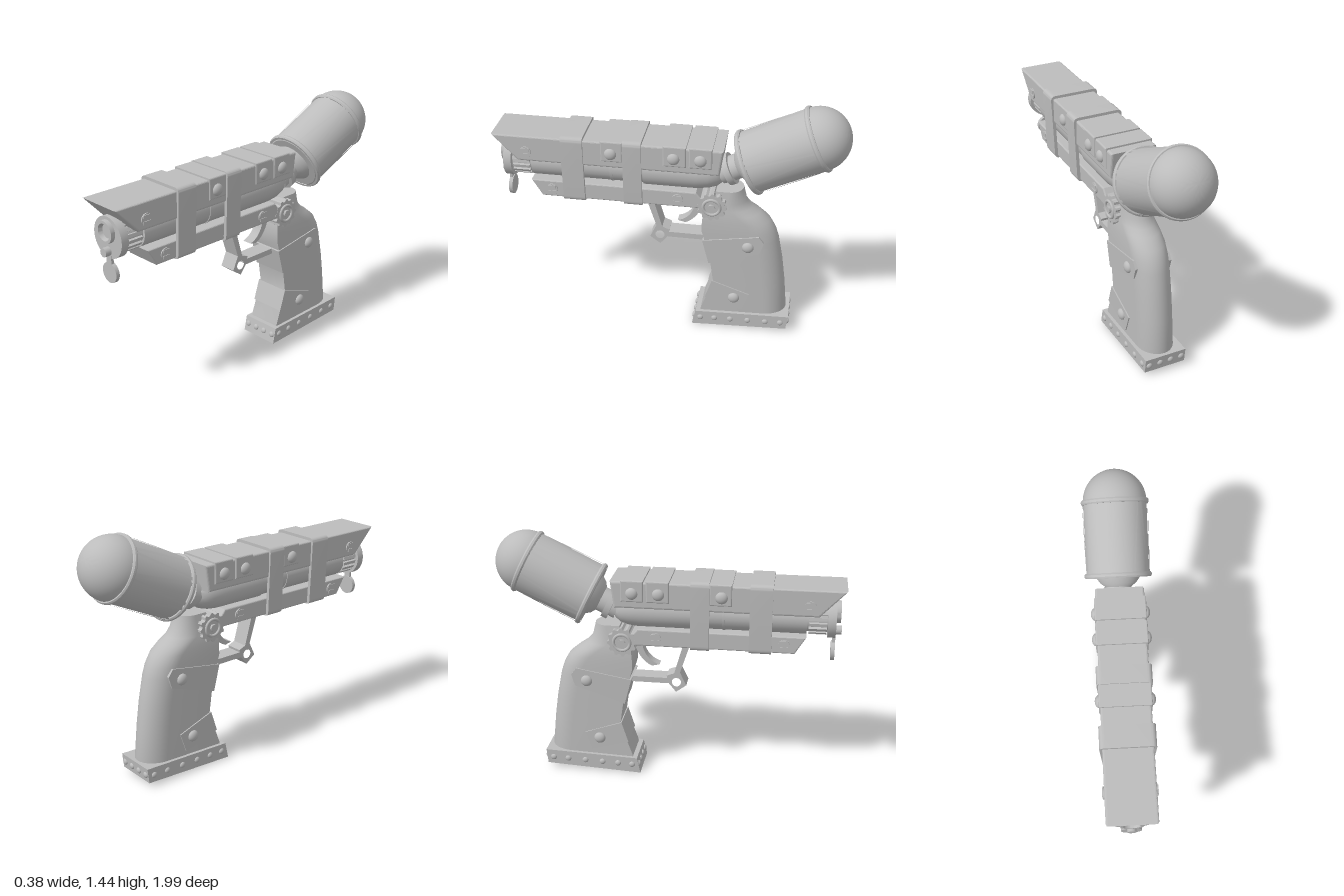
import * as THREE from 'three';
import { toCreasedNormals } from 'three/addons/utils/BufferGeometryUtils.js';

export function createModel() {
  const root = new THREE.Group();
  const metal = new THREE.MeshStandardMaterial({ color: 0xbcbcbc });
  metal.name = 'plain grey';

  const add = (name, geo, x = 0, y = 0, z = 0, parent = root) => {
    const m = new THREE.Mesh(geo, metal);
    m.name = name;
    m.position.set(x, y, z);
    parent.add(m);
    return m;
  };
  const vec = (pts) => pts.map(([a, b]) => new THREE.Vector2(a, b));

  // Side profile given as (z, y), extruded across x and centred
  const side = (shape, width, bevel = 0) => {
    const s = Array.isArray(shape) ? new THREE.Shape(vec(shape)) : shape;
    const depth = width - 2 * bevel;
    return new THREE.ExtrudeGeometry(s, {
      depth, curveSegments: 16, bevelEnabled: bevel > 0,
      bevelSize: bevel, bevelThickness: bevel, bevelOffset: -bevel, bevelSegments: 3,
    }).translate(0, 0, -depth / 2).rotateY(-Math.PI / 2);
  };
  // Turned profile of (radius, z), along the z axis
  const turned = (pts, seg = 40) =>
    toCreasedNormals(new THREE.LatheGeometry(vec(pts), seg), 0.6).rotateX(Math.PI / 2);
  const rivet = (r) => new THREE.SphereGeometry(r, 20, 8, 0, Math.PI * 2, 0, Math.PI / 2).scale(1, 0.65, 1);
  const sideRivets = (name, r, x, y, z) => [1, -1].forEach((s) =>
    add(name, rivet(r).rotateZ(-s * Math.PI / 2), s * x, y, z));

  // Upper housing and the plates wrapped over it
  add('upperHousing', side([[1, 1.205], [0.855, 1.05], [-0.29, 1.05], [-0.31, 1.205]], 0.27, 0.012));
  for (const [z0, z1, zr] of [[0.375, 0.25, 0.318], [0.025, -0.105, -0.035], [-0.12, -0.25, -0.185]]) {
    add('topPlate', side([[z0, 1.215], [z0, 1.09], [z1, 1.09], [z1, 1.215]], 0.284, 0.008));
    sideRivets('plateRivet', 0.035, 0.14, 1.14, zr);
  }

  // Lower rail
  add('lowerRail', side([[0.79, 0.92], [0.73, 0.82], [-0.2, 0.82], [-0.2, 0.87], [-0.16, 0.92]], 0.23, 0.008));

  // Bands around both housings
  const outline = (Cls, wt, wb, t, b, r) => {
    const s = new Cls();
    s.moveTo(-wb + r, b).lineTo(wb - r, b).quadraticCurveTo(wb, b, wb, b + r)
      .lineTo(wt, t - r).quadraticCurveTo(wt, t, wt - r, t)
      .lineTo(-wt + r, t).quadraticCurveTo(-wt, t, -wt, t - r)
      .lineTo(-wb, b + r).quadraticCurveTo(-wb, b, -wb + r, b);
    return s;
  };
  for (const [z, d] of [[0.475, 0.125], [0.145, 0.105]]) {
    const s = outline(THREE.Shape, 0.15, 0.135, 1.222, 0.812, 0.03);
    s.holes.push(outline(THREE.Path, 0.132, 0.115, 1.2, 0.83, 0.015));
    add('band', toCreasedNormals(new THREE.ExtrudeGeometry(s, { depth: d, bevelEnabled: false }), 0.6), 0, 0, z);
  }

  // Slotted screws
  for (const [x, y, z] of [[0.136, 1.11, 0.805], [0.116, 0.87, 0.67], [0.116, 0.87, -0.055]]) {
    for (const s of [1, -1]) {
      const g = new THREE.Group();
      g.name = 'screw';
      g.position.set(s * x, y, z);
      root.add(g);
      add('screwHead', new THREE.CylinderGeometry(0.033, 0.033, 0.012, 20).rotateZ(Math.PI / 2), 0, 0, 0, g);
      for (const o of [0.017, -0.017])
        add('screwRidge', new THREE.BoxGeometry(0.006, 0.018, 0.045), s * 0.007, o, 0, g);
    }
  }

  // Barrel, ribbed collar and muzzle
  add('barrel', turned([[0, -0.3], [0.06, -0.3], [0.085, -0.27], [0.1, -0.22], [0.108, -0.15], [0.108, 0.145],
    [0.1, 0.145], [0.1, 0.32], [0.104, 0.32], [0.104, 0.335], [0.1, 0.335], [0.1, 0.79], [0.085, 0.79],
    [0.085, 0.91], [0, 0.91]]), 0, 1.01);
  for (let i = 0; i < 18; i++) {
    const a = i / 18 * Math.PI * 2;
    add('collarRib', new THREE.BoxGeometry(0.018, 0.02, 0.1), Math.sin(a) * 0.09, 1.01 + Math.cos(a) * 0.09, 0.85)
      .rotation.z = -a;
  }
  add('muzzleDisc', turned([[0, 0.905], [0.115, 0.905], [0.115, 0.95], [0, 0.95]]), 0, 1.01);
  add('muzzleRing', turned([[0.063, 0.94], [0.063, 0.975], [0.047, 0.975], [0.04, 0.951], [0, 0.951]]), 0, 1.045);

  // Hinged muzzle cap hanging below
  const disc = (r, d) => new THREE.CylinderGeometry(r, r, d, 32).rotateX(Math.PI / 2);
  add('capPivot', disc(0.025, 0.045), 0, 0.935, 0.962);
  add('capArm', new THREE.BoxGeometry(0.04, 0.11, 0.016), 0, 0.885, 0.944);
  add('muzzleCap', disc(0.057, 0.022), 0, 0.812, 0.941);

  // Tilted neck and canister; local z runs back along the axis
  const can = new THREE.Group();
  can.name = 'canister';
  can.position.set(0, 1.08, -0.44);
  can.rotation.x = Math.PI + 0.448;
  root.add(can);
  const dome = [];
  for (let i = 0; i <= 14; i++) {
    const a = i / 14 * Math.PI / 2;
    dome.push([i === 14 ? 0 : 0.178 * Math.cos(a), 0.416 + 0.178 * Math.sin(a)]);
  }
  add('canisterBody', turned([[0, -0.01], [0.165, -0.01], [0.176, 0], ...dome], 48), 0, 0, 0, can);
  for (const z of [0.005, 0.412])
    add('canisterRim', turned([[0.17, z - 0.014], [0.184, z - 0.014], [0.19, z - 0.006], [0.19, z + 0.006],
      [0.184, z + 0.014], [0.17, z + 0.014]], 48), 0, 0, 0, can);
  add('neck', turned([[0, -0.17], [0.07, -0.17], [0.07, -0.135], [0.092, -0.135], [0.092, -0.1], [0.072, -0.1],
    [0.072, -0.06], [0.1, -0.04], [0.125, -0.005], [0, -0.005]]), 0, 0, 0, can);
  // Diagonal straps lying on the canister wall
  for (let i = 0; i < 8; i++) {
    const mid = (i + 0.5) / 8 * Math.PI * 2;
    for (const s of [1, -1]) {
      const g = new THREE.PlaneGeometry(1, 1, 2, 8);
      const p = g.attributes.position;
      for (let k = 0; k < p.count; k++) {
        const v = p.getY(k) + 0.5;
        const a = mid + s * (0.08 + 0.24 * v) + p.getX(k) * 0.1;
        p.setXYZ(k, Math.sin(a) * 0.183, 0.01 + v * 0.395, Math.cos(a) * 0.183);
      }
      g.computeVertexNormals();
      add('diagonalStrap', g.rotateX(Math.PI / 2), 0, 0, 0, can);
    }
  }

  // Grip: square in front, rounded behind; rows are y, front z, back z, half width
  const rows = [[0.05, -0.19, -0.7, 0.105], [0.11, -0.2, -0.705, 0.105], [0.31, -0.27, -0.685, 0.104],
    [0.45, -0.25, -0.665, 0.104], [0.6, -0.212, -0.635, 0.104], [0.66, -0.195, -0.615, 0.104],
    [0.72, -0.195, -0.58, 0.103], [0.77, -0.2, -0.52, 0.1], [0.8, -0.21, -0.475, 0.096],
    [0.84, -0.23, -0.44, 0.09], [0.92, -0.27, -0.42, 0.08], [0.921, -0.34, -0.341, 0.001]];
  const pos = [], idx = [], arc = 16, n = arc + 3;
  for (const [y, zf, zb, w] of rows) {
    const d = Math.min(0.13, (zf - zb) * 0.5);
    pos.push(w, y, zf);
    for (let i = 0; i <= arc; i++) {
      const a = i / arc * Math.PI;
      pos.push(w * Math.cos(a), y, zb + d - d * Math.sin(a));
    }
    pos.push(-w, y, zf);
  }
  for (let r = 0; r < rows.length - 1; r++)
    for (let i = 0; i < n; i++) {
      const a = r * n + i, b = r * n + (i + 1) % n;
      idx.push(a, b, b + n, a, b + n, a + n);
    }
  const grip = new THREE.BufferGeometry();
  grip.setAttribute('position', new THREE.Float32BufferAttribute(pos, 3));
  grip.setIndex(idx);
  add('grip', toCreasedNormals(grip, 0.6));

  // Straps round the front of the grip
  add('upperGripStrap', side([[-0.2, 0.6], [-0.24, 0.445], [-0.535, 0.545], [-0.555, 0.615], [-0.525, 0.655]].reverse(), 0.222));
  sideRivets('strapRivet', 0.034, 0.11, 0.58, -0.465);
  add('lowerGripStrap', side([[-0.262, 0.32], [-0.222, 0.195], [-0.445, 0.13], [-0.483, 0.243]], 0.222));
  sideRivets('strapRivet', 0.034, 0.11, 0.212, -0.395);

  // Riveted base
  add('base', side([[-0.15, 0], [-0.17, 0.095], [-0.725, 0.115], [-0.715, 0.027]].reverse(), 0.25));
  [-0.2, -0.285, -0.38, -0.485, -0.59, -0.68].forEach((z, i) =>
    sideRivets('baseRivet', 0.018, 0.124, 0.053 + i * 0.003, z));
  for (const x of [-0.1, -0.033, 0.033, 0.1]) {
    add('baseRivet', rivet(0.018).rotateX(Math.PI / 2 - 0.2), x, 0.052, -0.161);
    add('baseRivet', rivet(0.018).rotateX(-Math.PI / 2), x, 0.072, -0.72);
  }

  // Pivot gears on both sides
  const gear = new THREE.Shape();
  for (let i = 0; i < 48; i++) {
    const a = i / 48 * Math.PI * 2, r = i % 4 < 2 ? 0.086 : 0.074;
    gear[i ? 'lineTo' : 'moveTo'](Math.cos(a) * r, Math.sin(a) * r);
  }
  add('gearPair', side(gear, 0.234), 0, 0.835, -0.25);
  for (const s of [1, -1]) {
    add('gearRing', new THREE.TorusGeometry(0.048, 0.009, 8, 32).rotateY(Math.PI / 2), s * 0.118, 0.835, -0.25);
    add('gearHub', new THREE.CylinderGeometry(0.022, 0.022, 0.02, 6).rotateZ(Math.PI / 2), s * 0.12, 0.835, -0.25);
  }

  // Trigger guard with a pierced lug
  add('guardArm', side([[0.14, 0.83], [0.065, 0.6], [0.04, 0.62], [0.1, 0.83]], 0.1));
  const lug = new THREE.Shape(vec([[0.075, 0.645], [0.115, 0.56], [0.055, 0.515], [0.01, 0.57], [0, 0.615]]));
  lug.holes.push(new THREE.Path().absarc(0.057, 0.577, 0.027, 0, Math.PI * 2, true));
  add('guardLug', side(lug, 0.1));
  add('guardBar', side([[0.01, 0.6], [0.01, 0.567], [-0.22, 0.567], [-0.22, 0.6]], 0.1));

  // Curved trigger
  const trig = new THREE.Shape();
  trig.moveTo(-0.15, 0.83).quadraticCurveTo(-0.14, 0.7, -0.045, 0.675)
    .lineTo(-0.09, 0.665).quadraticCurveTo(-0.17, 0.7, -0.2, 0.83);
  add('trigger', side(trig, 0.06));

  return root;
}
